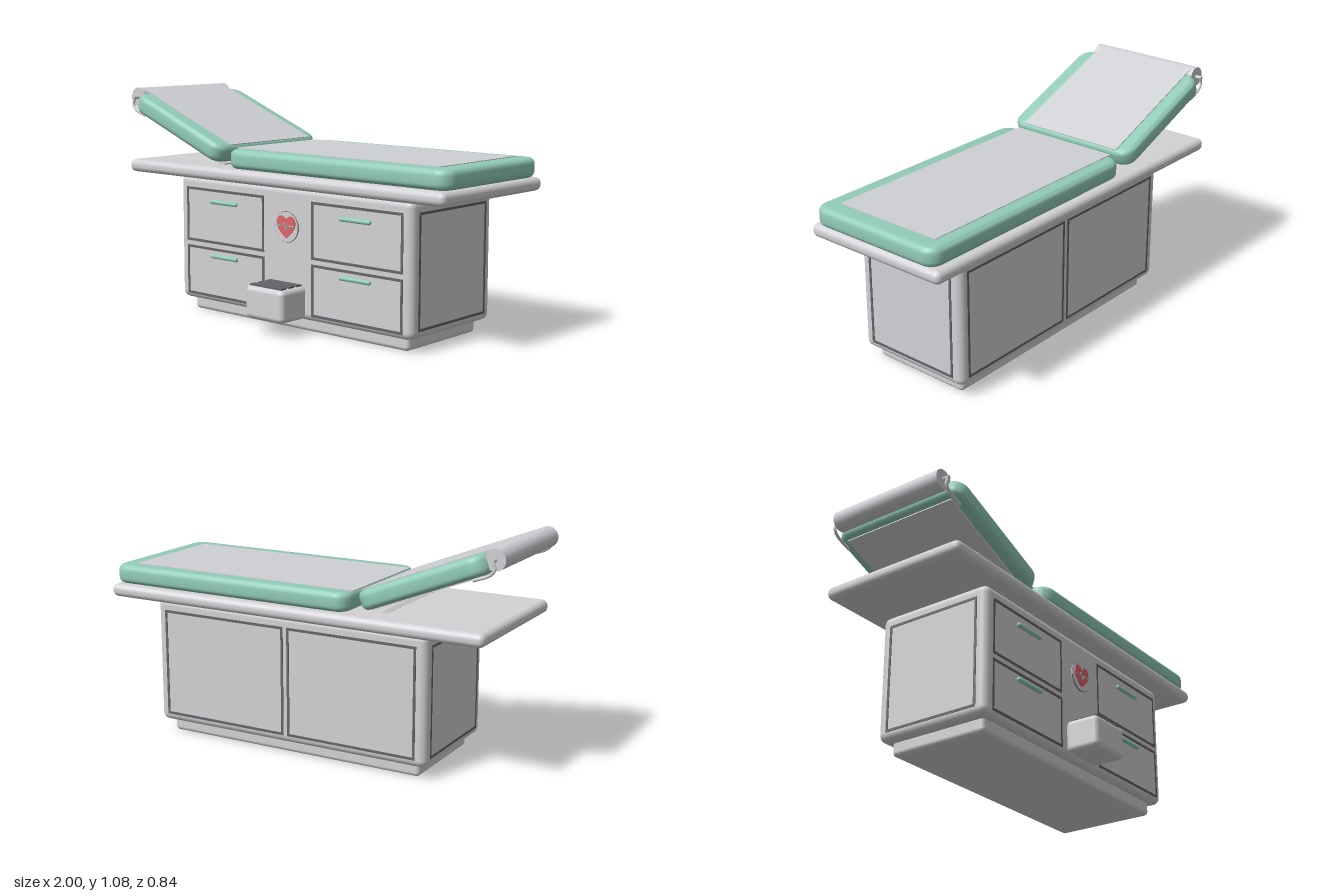
import * as THREE from 'three';
import { RoundedBoxGeometry } from 'three/addons/geometries/RoundedBoxGeometry.js';
import { toCreasedNormals } from 'three/addons/utils/BufferGeometryUtils.js';

const mat = (name, color) => {
  const m = new THREE.MeshStandardMaterial({ color });
  m.name = name;
  return m;
};

function roundedRect(w, h, r) {
  const s = new THREE.Shape(), x = w / 2, y = h / 2;
  s.moveTo(-x + r, -y);
  s.lineTo(x - r, -y).absarc(x - r, -y + r, r, -Math.PI / 2, 0);
  s.lineTo(x, y - r).absarc(x - r, y - r, r, 0, Math.PI / 2);
  s.lineTo(-x + r, y).absarc(-x + r, y - r, r, Math.PI / 2, Math.PI);
  s.lineTo(-x, -y + r).absarc(-x + r, -y + r, r, Math.PI, Math.PI * 1.5);
  return s;
}

// Padded slab lying flat, centred on its own origin
function cushionGeometry(length, height, depth) {
  const b = 0.028;
  const geo = new THREE.ExtrudeGeometry(roundedRect(length - 2 * b, depth - 2 * b, 0.04), {
    depth: height - 2 * b, bevelSize: b, bevelThickness: b, bevelSegments: 5, curveSegments: 6,
  });
  geo.rotateX(-Math.PI / 2).center();
  return toCreasedNormals(geo, 0.7);
}

// Thin rectangular border standing in the xy plane
function frameGeometry(w, h) {
  const t = 0.012;
  const rect = (a, b) => [[-a, -b], [a, -b], [a, b], [-a, b]].map(([x, y]) => new THREE.Vector2(x / 2, y / 2));
  const s = new THREE.Shape(rect(w, h));
  s.holes.push(new THREE.Path(rect(w - 2 * t, h - 2 * t)));
  return new THREE.ExtrudeGeometry(s, { depth: 0.003, bevelEnabled: false });
}

export function createModel() {
  const grey = mat('light grey', 0xd2d2d6);
  const paper = mat('paper grey', 0xcfd0d4);
  const teal = mat('teal vinyl', 0x92cbb8);
  const dark = mat('dark trim', 0x66666a);
  const red = mat('red', 0xe0646a);

  const model = new THREE.Group();
  model.name = 'examinationTable';
  const add = (name, geo, material, x = 0, y = 0, z = 0, parent = model) => {
    const m = new THREE.Mesh(geo, material);
    m.name = name;
    m.position.set(x, y, z);
    parent.add(m);
    return m;
  };
  // Rounded box given by its limits on each axis
  const block = (name, [x0, x1], [y0, y1], [z0, z1], r, material) =>
    add(name, new RoundedBoxGeometry(x1 - x0, y1 - y0, z1 - z0, 4, r), material,
      (x0 + x1) / 2, (y0 + y1) / 2, (z0 + z1) / 2);

  // Cabinet and top
  block('plinth', [-0.6, 0.735], [0, 0.075], [-0.295, 0.21], 0.02, grey);
  block('cabinet', [-0.65, 0.785], [0.06, 0.672], [-0.34, 0.255], 0.035, grey);
  block('tableTop', [-0.945, 1], [0.668, 0.73], [-0.42, 0.33], 0.028, grey);

  // Drawers with handles
  for (const [x0, x1] of [[-0.6, -0.08], [0.215, 0.74]]) {
    for (const [y0, y1, hy] of [[0.35, 0.615, 0.555], [0.085, 0.328, 0.29]]) {
      const cx = (x0 + x1) / 2, cy = (y0 + y1) / 2;
      add('drawerTrim', frameGeometry(x1 - x0, y1 - y0), dark, cx, cy, 0.2545);
      const handle = add('drawerHandle', new THREE.CapsuleGeometry(0.011, 0.158, 6, 12), teal, cx, hy, 0.262);
      handle.rotation.z = Math.PI / 2;
    }
  }

  // Back and end panels
  for (const [x0, x1] of [[-0.6, 0.058], [0.078, 0.74]]) {
    const p = add('backPanelTrim', frameGeometry(x1 - x0, 0.52), dark, (x0 + x1) / 2, 0.356, -0.3395);
    p.rotation.y = Math.PI;
  }
  for (const [x, turn] of [[0.7845, 1], [-0.6495, -1]]) {
    const p = add('endPanelTrim', frameGeometry(0.495, 0.52), dark, x, 0.356, -0.0425);
    p.rotation.y = turn * Math.PI / 2;
  }

  // Round badge with heart and pulse line
  const badge = new THREE.Group();
  badge.name = 'heartBadge';
  badge.position.set(0.07, 0.485, 0.255);
  model.add(badge);
  const disc = add('badgeDisc', new THREE.CylinderGeometry(0.07, 0.07, 0.01, 40), grey, 0, 0, 0.004, badge);
  disc.rotation.x = Math.PI / 2;
  add('badgeRim', new THREE.TorusGeometry(0.07, 0.0025, 6, 40), dark, 0, 0, 0.006, badge);
  const heart = new THREE.Shape();
  heart.moveTo(0, -0.052);
  heart.bezierCurveTo(-0.03, -0.03, -0.058, -0.005, -0.056, 0.022);
  heart.bezierCurveTo(-0.052, 0.06, -0.01, 0.058, 0, 0.03);
  heart.bezierCurveTo(0.01, 0.058, 0.052, 0.06, 0.056, 0.022);
  heart.bezierCurveTo(0.058, -0.005, 0.03, -0.03, 0, -0.052);
  add('heart', new THREE.ExtrudeGeometry(heart, { depth: 0.007, bevelEnabled: false, curveSegments: 12 }),
    red, 0, 0, 0.007, badge);
  const pulse = new THREE.CurvePath();
  const beat = [[-0.052, 0.005], [-0.02, 0.005], [-0.01, 0.02], [0.004, -0.015], [0.014, 0.012], [0.022, 0.005], [0.052, 0.005]]
    .map(([x, y]) => new THREE.Vector3(x, y, 0.0145));
  for (let i = 1; i < beat.length; i++) pulse.add(new THREE.LineCurve3(beat[i - 1], beat[i]));
  add('pulseLine', new THREE.TubeGeometry(pulse, 60, 0.0025, 6), teal, 0, 0, 0, badge);

  // Foot step with grip strips
  block('footStep', [-0.05, 0.185], [0.07, 0.223], [0.25, 0.42], 0.025, grey);
  for (const z of [0.283, 0.334, 0.385])
    add('gripStrip', new THREE.BoxGeometry(0.195, 0.009, 0.034), dark, 0.0675, 0.2255, z);

  // Seat cushion and paper sheet
  add('seatCushion', cushionGeometry(1.28, 0.09, 0.705), teal, 0.36, 0.776, -0.0425);
  add('seatPaper', new THREE.BoxGeometry(1.19, 0.004, 0.555), paper, 0.315, 0.822, -0.0475);

  // Raised backrest: local x runs down the slope
  const back = new THREE.Group();
  back.name = 'backrest';
  back.position.set(-0.627, 0.903, 0);
  back.rotation.z = -0.377;
  model.add(back);
  add('backCushion', cushionGeometry(0.64, 0.09, 0.705), teal, 0, 0, -0.0425, back);
  add('backPaper', new THREE.BoxGeometry(0.662, 0.004, 0.555), paper, -0.023, 0.047, -0.0475, back);
  add('backPlate', new THREE.BoxGeometry(0.56, 0.008, 0.6), grey, 0, -0.048, -0.0425, back);

  // Paper roll on its wire holder
  const roll = add('paperRoll', new THREE.CylinderGeometry(0.048, 0.048, 0.597, 32), paper, -0.354, 0.001, -0.0465, back);
  roll.rotation.x = Math.PI / 2;
  const axle = add('rollAxle', new THREE.CylinderGeometry(0.009, 0.009, 0.66, 12), grey, -0.354, 0.001, -0.0465, back);
  axle.rotation.x = Math.PI / 2;
  for (const z of [0.275, -0.368]) {
    const path = new THREE.CatmullRomCurve3([[-0.354, 0.001], [-0.35, -0.035], [-0.32, -0.052], [-0.24, -0.052]]
      .map(([x, y]) => new THREE.Vector3(x, y, 0)));
    add('rollBracket', new THREE.TubeGeometry(path, 16, 0.007, 8), grey, 0, 0, z, back);
  }

  // Struts holding the backrest up
  for (const z of [0.17, -0.255]) {
    const strut = add('backrestStrut', new THREE.BoxGeometry(0.26, 0.018, 0.05), grey, -0.52, 0.79, z);
    strut.rotation.z = -0.5;
  }
  return model;
}
